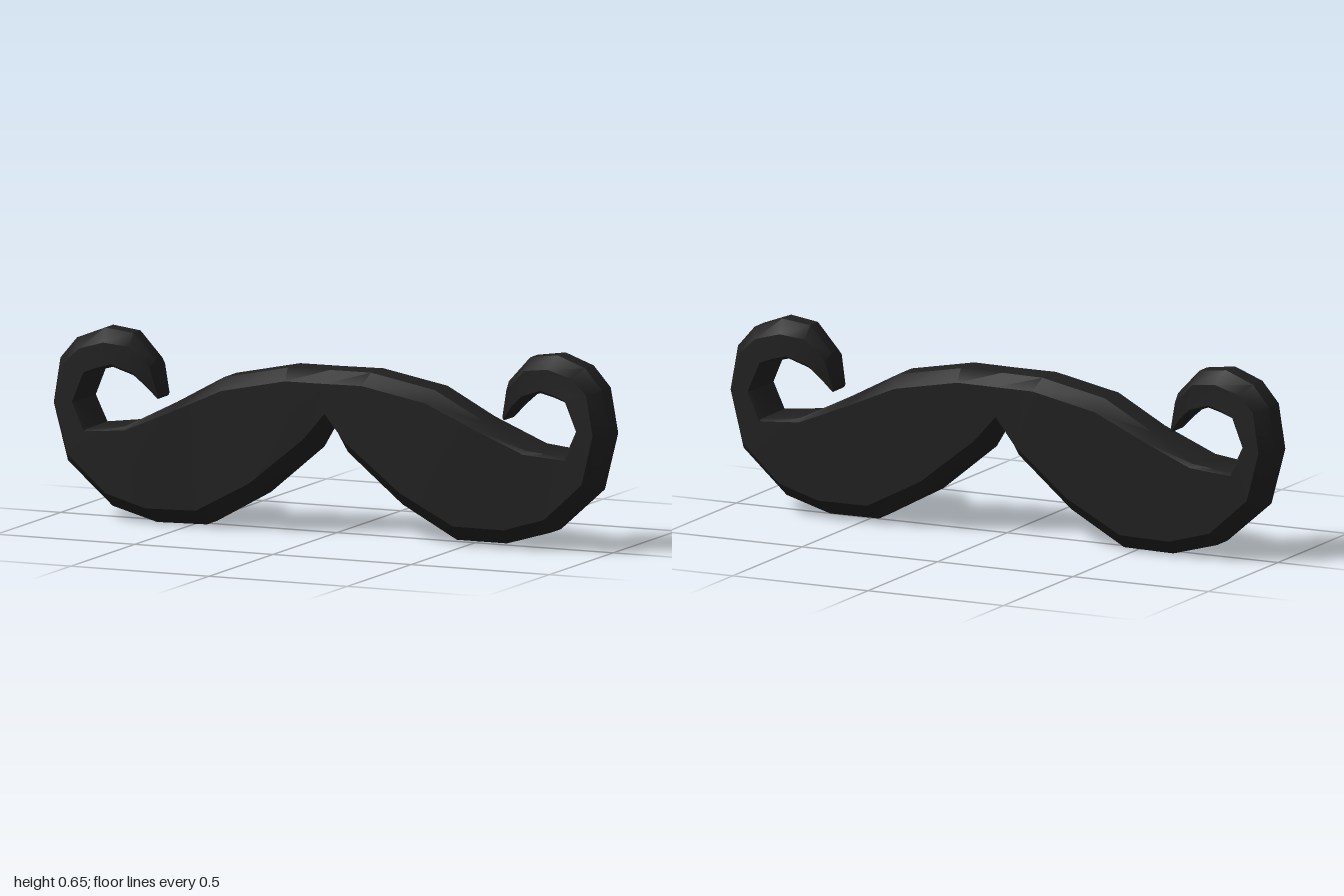
import * as THREE from 'three';
import { toCreasedNormals } from 'three/addons/utils/BufferGeometryUtils.js';

// Cross-sections from the centre to the curled tip:
// [outer x, outer y, inner x, inner y, half depth, outer bevel, inner bevel]
const HALF = [
  [0.00, 0.38, 0.00, 0.55, 0.092, 0.03, 0.04],
  [0.06, 0.28, 0.15, 0.55, 0.100, 0.045, 0.04],
  [0.255, 0.117, 0.38, 0.505, 0.101, 0.05, 0.04],
  [0.45, 0.01, 0.55, 0.413, 0.101, 0.055, 0.025],
  [0.63, 0.008, 0.72, 0.328, 0.100, 0.055, 0.012],
  [0.79, 0.053, 0.79, 0.320, 0.098, 0.05, 0.01],
  [0.95, 0.195, 0.86, 0.312, 0.095, 0.04, 0.01],
  [1.00, 0.385, 0.90, 0.400, 0.092, 0.035, 0.01],
  [0.975, 0.535, 0.86, 0.495, 0.089, 0.035, 0.01],
  [0.915, 0.605, 0.82, 0.508, 0.086, 0.04, 0.01],
  [0.815, 0.643, 0.77, 0.520, 0.082, 0.045, 0.01],
  [0.715, 0.630, 0.70, 0.495, 0.073, 0.04, 0.01],
  [0.635, 0.545, 0.662, 0.460, 0.062, 0.025, 0.008],
  [0.619, 0.430, 0.624, 0.417, 0.046, 0.003, 0.003],
];

// Eight-sided ring: flat front and back, bevelled along both edges
function ring([ox, oy, ix, iy, d, bo, bi], side) {
  const len = Math.hypot(ix - ox, iy - oy);
  const at = (t, z) => [side * (ox + (ix - ox) * t), oy + (iy - oy) * t, z];
  const lo = bo / len, hi = 1 - bi / len;
  const zo = d * 0.4, zi = bi > 0.02 ? d * 0.5 : d * 0.85;
  return [at(lo, d), at(hi, d), at(1, zi), at(1, -zi), at(hi, -d), at(lo, -d), at(0, -zo), at(0, zo)];
}

function moustacheGeometry() {
  // Mirrored half first (tip to centre), then the other half out to its tip
  const rings = [
    ...HALF.slice(1).reverse().map((s) => ring(s, -1)),
    ...HALF.map((s) => ring(s, 1)),
  ];
  const n = 8, last = (rings.length - 1) * n, index = [];
  for (let i = 0; i < rings.length - 1; i++) {
    for (let j = 0; j < n; j++) {
      const k = (j + 1) % n;
      const a = i * n + j, b = a + n, d = i * n + k, c = d + n;
      index.push(a, b, c, a, c, d);
    }
  }
  // Close both tips
  for (let j = 1; j < n - 1; j++) {
    index.push(0, j, j + 1, last, last + j + 1, last + j);
  }
  const geometry = new THREE.BufferGeometry();
  geometry.setAttribute('position', new THREE.Float32BufferAttribute(rings.flat(2), 3));
  geometry.setIndex(index);
  return toCreasedNormals(geometry, 0.65);
}

export function createModel() {
  const group = new THREE.Group();
  group.name = 'moustache';
  const blackHair = new THREE.MeshStandardMaterial({ color: 0x202020 });
  blackHair.name = 'blackHair';

  const hair = new THREE.Mesh(moustacheGeometry(), blackHair);
  hair.name = 'curledMoustache';
  // Sits very slightly askew
  hair.rotation.set(0, 0.011, 0.009);
  group.add(hair);
  return group;
}
